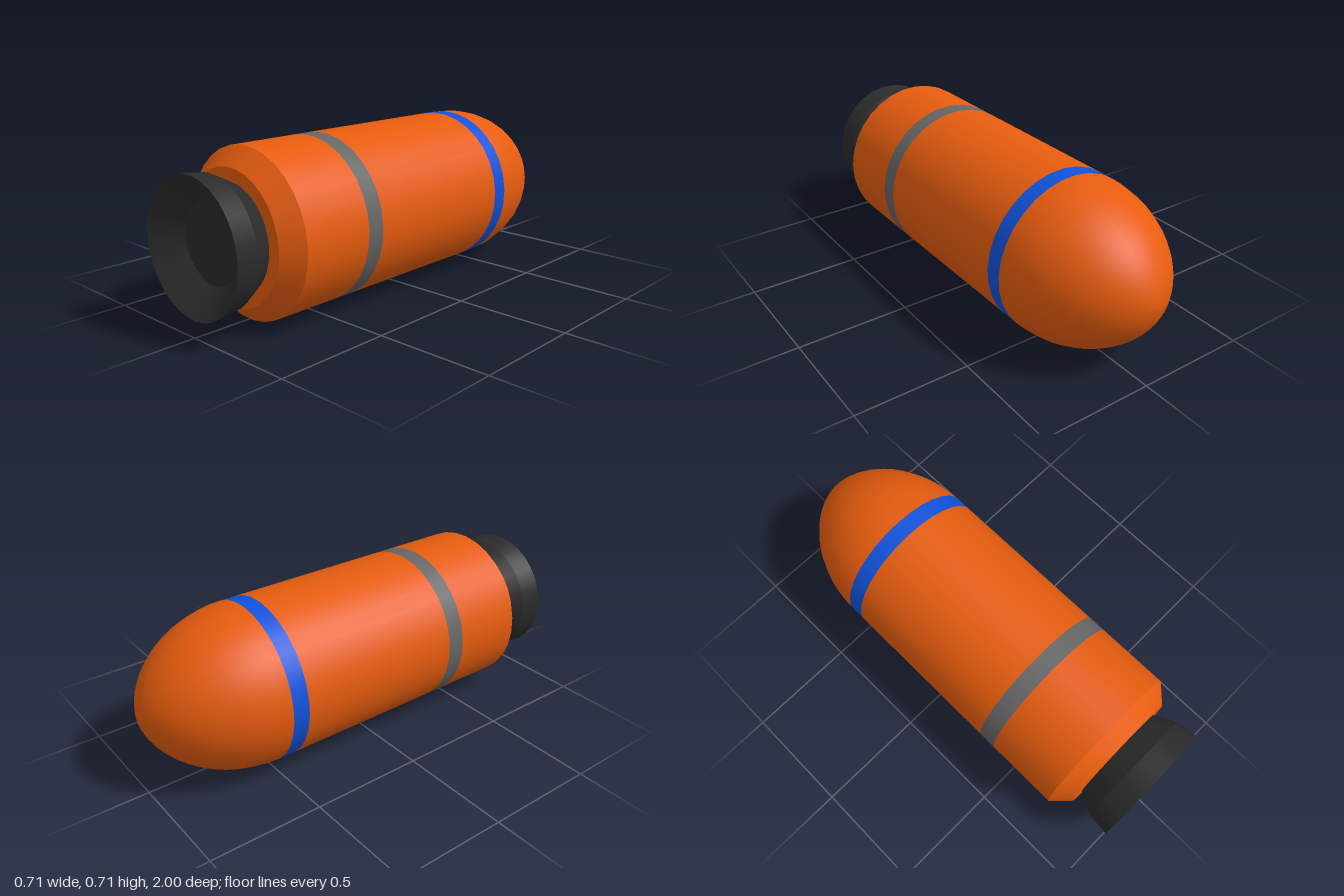
import * as THREE from 'three';

const R = 0.354;      // body radius
const SIDES = 32;

export function createModel() {
  const group = new THREE.Group();
  const paint = (color) => new THREE.MeshStandardMaterial({ color });
  const orange = paint(0xe65c0e), blue = paint(0x1052dc), grey = paint(0x666666), dark = paint(0x2b2b2b);

  // Revolve [z, radius] pairs around the long axis; rising z faces outward
  function turn(name, material, profile) {
    const points = profile.map(([z, r]) => new THREE.Vector2(r, z));
    const geometry = new THREE.LatheGeometry(points, SIDES, 0.053);
    geometry.rotateX(Math.PI / 2);
    const mesh = new THREE.Mesh(geometry, material);
    mesh.name = name;
    mesh.position.y = R;
    group.add(mesh);
  }

  // Rounded nose
  const nose = [];
  for (let i = 0; i <= 14; i++) {
    const t = Math.cos((i / 14) * Math.PI / 2);
    nose.push([-0.51 - 0.49 * t, R * Math.pow(Math.max(0, 1 - t * t), 0.57)]);
  }
  nose[0][1] = 0;
  turn('nose', orange, nose);

  // Cylindrical body with two flush bands
  turn('frontBand', blue, [[-0.51, R], [-0.435, R]]);
  turn('mainBody', orange, [[-0.435, R], [0.33, R]]);
  turn('rearBand', grey, [[0.33, R], [0.41, R]]);
  turn('rearBody', orange, [[0.41, R], [0.735, R]]);

  // Chamfered tail and its flat end
  turn('tailChamfer', orange, [[0.735, R], [0.81, 0.28]]);
  turn('tailFace', orange, [[0.81, 0.28], [0.81, 0]]);

  // Engine nozzle: outer bell, inner cone and throat disc
  turn('nozzleNeck', dark, [[0.81, 0.225], [0.9, 0.272]]);
  turn('nozzleBell', dark, [[0.9, 0.272], [1, 0.283]]);
  turn('nozzleInside', dark, [[1, 0.283], [0.9, 0.17]]);
  turn('nozzleThroat', dark, [[0.9, 0.17], [0.9, 0]]);

  return group;
}
